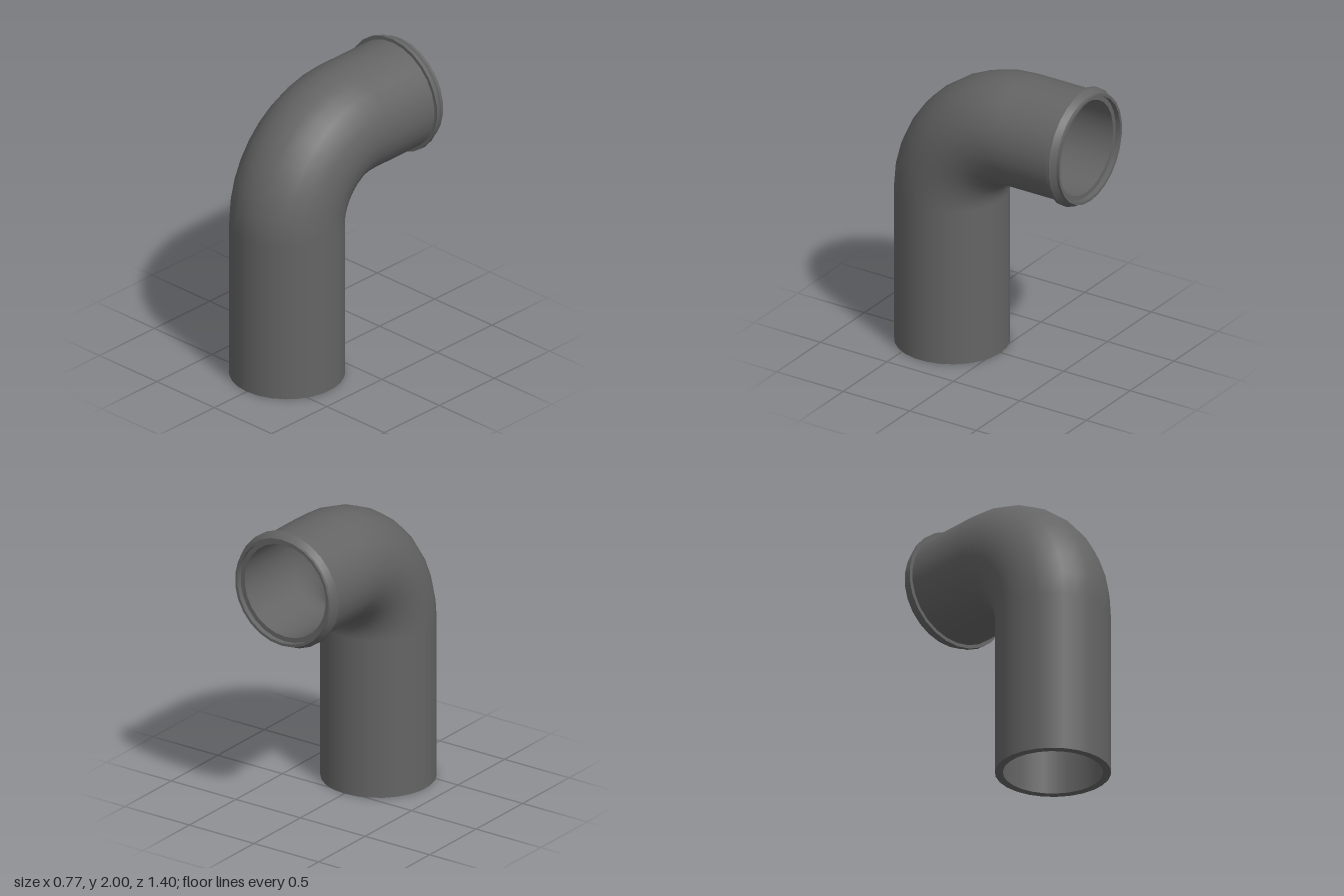
import * as THREE from 'three';
import { toCreasedNormals } from 'three/addons/utils/BufferGeometryUtils.js';

const SIDES = 26, OUTER = 0.366, INNER = 0.316;
const AXIS_Z = 0.339, AXIS_Y = 1.611, BEND = 0.54, BEND_STEPS = 9, END_Z = -0.7;

// Stations along the pipe axis: upright leg, quarter bend, level leg
function stations() {
  const list = [{ y: 0, z: AXIS_Z, a: 0 }];
  for (let i = 0; i <= BEND_STEPS; i++) {
    const a = (i / BEND_STEPS) * Math.PI / 2;
    list.push({
      y: AXIS_Y - BEND + BEND * Math.sin(a),
      z: AXIS_Z - BEND + BEND * Math.cos(a),
      a,
    });
  }
  list.push({ y: AXIS_Y, z: END_Z + 0.035, a: Math.PI / 2 });
  return list;
}

// Sweeps a circle along the stations; inward flips the wall to face the bore
function pipeWall(radius, inward) {
  const pos = [], nor = [], index = [], path = stations(), sign = inward ? -1 : 1;
  path.forEach(({ y, z, a }, i) => {
    for (let j = 0; j <= SIDES; j++) {
      const t = (j / SIDES) * Math.PI * 2;
      const dx = Math.sin(t), dy = Math.cos(t) * Math.sin(a), dz = Math.cos(t) * Math.cos(a);
      pos.push(radius * dx, y + radius * dy, z + radius * dz);
      nor.push(sign * dx, sign * dy, sign * dz);
      if (i < path.length - 1 && j < SIDES) {
        const p = i * (SIDES + 1) + j, q = p + SIDES + 1;
        if (inward) index.push(p, q + 1, p + 1, p, q, q + 1);
        else index.push(p, p + 1, q + 1, p, q + 1, q);
      }
    }
  });
  const g = new THREE.BufferGeometry();
  g.setAttribute('position', new THREE.Float32BufferAttribute(pos, 3));
  g.setAttribute('normal', new THREE.Float32BufferAttribute(nor, 3));
  g.setIndex(index);
  return g;
}

export function createModel() {
  const group = new THREE.Group();
  group.name = 'pipeElbow';
  const darkGrey = new THREE.MeshStandardMaterial({ color: 0x646464 });
  darkGrey.name = 'darkGrey';

  const add = (name, geometry) => {
    const mesh = new THREE.Mesh(geometry, darkGrey);
    mesh.name = name;
    group.add(mesh);
    return mesh;
  };

  add('outerWall', pipeWall(OUTER, false));
  add('innerWall', pipeWall(INNER, true));

  // Flat rim at the foot of the pipe
  const rim = new THREE.RingGeometry(INNER, OUTER, SIDES, 1, Math.PI / 2);
  rim.rotateX(Math.PI / 2);
  add('bottomRim', rim).position.z = AXIS_Z;

  // Raised collar with a chamfer, end lip and recessed seat
  const profile = [
    [0.36, 0.618], [0.389, 0.618], [0.389, 0.642], [0.363, 0.682],
    [0.363, 0.7], [0.345, 0.7], [0.345, 0.665], [INNER - 0.002, 0.665],
  ].map(([r, d]) => new THREE.Vector2(r, d));
  const collar = toCreasedNormals(new THREE.LatheGeometry(profile, SIDES), 0.45);
  collar.rotateX(-Math.PI / 2);
  add('collar', collar).position.y = AXIS_Y;

  return group;
}
